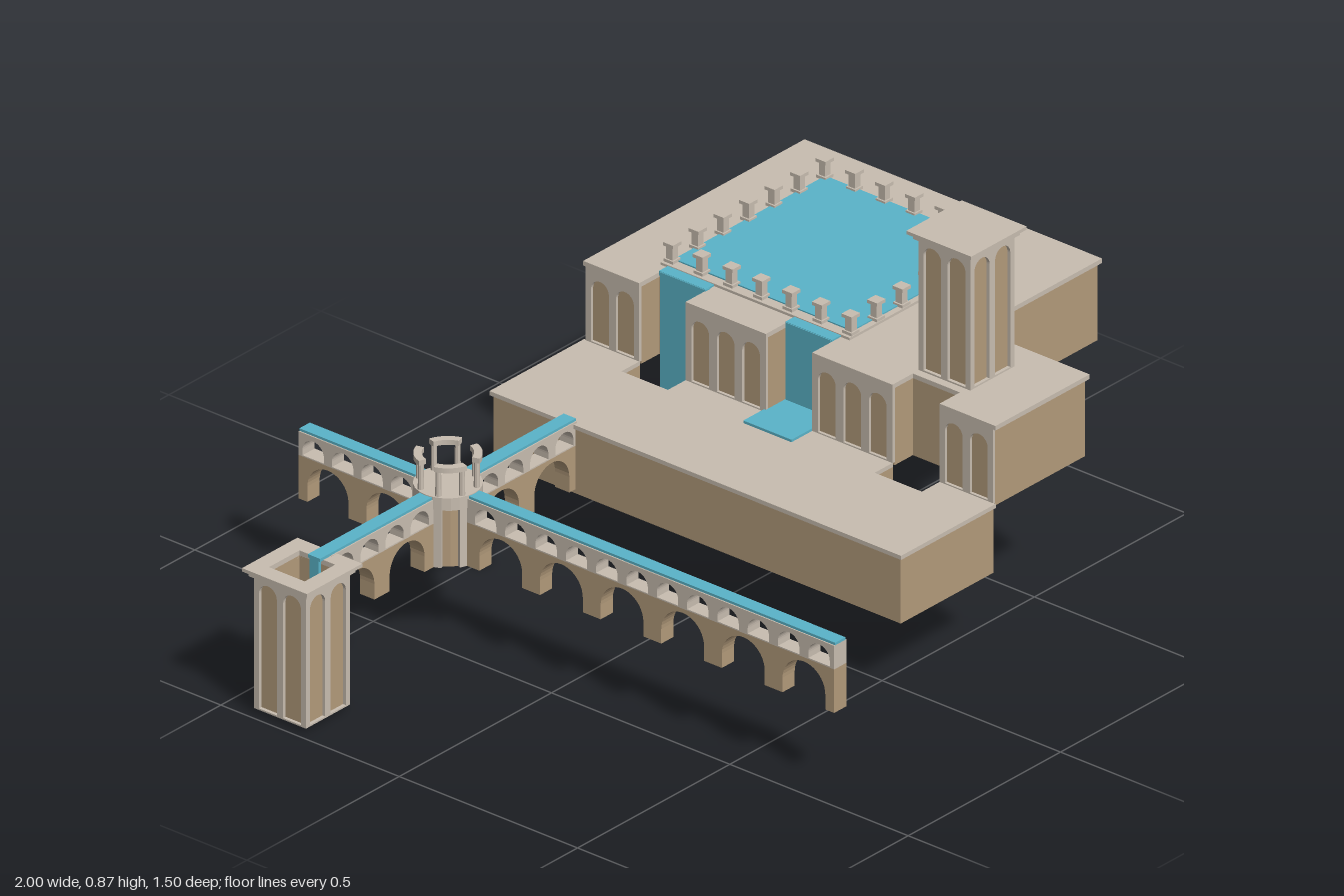
import * as THREE from 'three';

const mat = (color) => new THREE.MeshStandardMaterial({ color, side: THREE.DoubleSide, flatShading: true });
const BROWN = mat(0xb39b7b), LIGHT = mat(0xc8bdb0), WATER = mat(0x5ab4c9);
const HUB_X = -0.43, HUB_Z = -0.35;

function add(parent, name, geometry, material, x = 0, y = 0, z = 0) {
  const m = new THREE.Mesh(geometry, material);
  m.name = name;
  m.position.set(x, y, z);
  parent.add(m);
  return m;
}

// box given by its min and max corners
function box(parent, name, material, x0, x1, y0, y1, z0, z1) {
  return add(parent, name, new THREE.BoxGeometry(x1 - x0, y1 - y0, z1 - z0), material,
    (x0 + x1) / 2, (y0 + y1) / 2, (z0 + z1) / 2);
}

const extrude = (shape, depth) =>
  new THREE.ExtrudeGeometry(shape, { depth, bevelEnabled: false, curveSegments: 10 });

// floor plan of [x, z] corners raised from y0 to y1
function plan(parent, name, material, points, y0, y1, hole) {
  const toV = ([x, z]) => new THREE.Vector2(x, -z);
  const s = new THREE.Shape(points.map(toV));
  if (hole) s.holes.push(new THREE.Path(hole.map(toV)));
  return add(parent, name, extrude(s, y1 - y0).rotateX(-Math.PI / 2), material, 0, y0, 0);
}

const square = (r) => [[-r, -r], [r, -r], [r, r], [-r, r]];

// round-headed opening
function archHole(cx, w, y0, y1) {
  const p = new THREE.Path(), r = w / 2;
  p.moveTo(cx - r, y0);
  p.lineTo(cx - r, y1 - r);
  p.absarc(cx, y1 - r, r, Math.PI, 0, true);
  p.lineTo(cx + r, y0);
  p.closePath();
  return p;
}

// light wall plate with a row of arched openings, centred on x
function archPlate(w, h, count, archW, top, depth) {
  const s = new THREE.Shape([[-w / 2, 0], [w / 2, 0], [w / 2, h], [-w / 2, h]].map((p) => new THREE.Vector2(...p)));
  const step = archW + (w - count * archW) / (count + 0.5);
  for (let i = 0; i < count; i++) s.holes.push(archHole((i - (count - 1) / 2) * step, archW, 0.004, top));
  return extrude(s, depth);
}

// square tower with two blind arches on every face and a stepped cornice
function tower(name, h, hollow) {
  const g = new THREE.Group(), r = 0.0725, hole = hollow && square(0.05);
  g.name = name;
  plan(g, 'towerCore', BROWN, square(r - 0.008), 0, h, hole);
  for (let i = 0; i < 4; i++) {
    const side = new THREE.Group();
    side.rotation.y = i * Math.PI / 2;
    add(side, 'towerArches', archPlate(2 * r, h, 2, 0.05, h - 0.02, 0.008), LIGHT, 0, 0, r - 0.008);
    g.add(side);
  }
  plan(g, 'corniceLower', LIGHT, square(0.081), h - 0.008, h + 0.004, hole);
  plan(g, 'corniceUpper', LIGHT, square(0.091), h + 0.004, h + 0.012, hole);
  return g;
}

// aqueduct arm along local +x, bays counted inward from the far end
function arm(name, angle, length, bays, bay) {
  const g = new THREE.Group(), start = length - bays * bay, t = 0.04, r = bay / 2 - 0.025;
  g.name = name;
  g.position.set(HUB_X, 0, HUB_Z);
  g.rotation.y = angle;
  const low = new THREE.Shape();
  low.moveTo(start - 0.03, 0.295);
  low.lineTo(start - 0.03, 0.19);
  const high = new THREE.Shape();
  high.moveTo(start - 0.03, 0.295);
  high.lineTo(length, 0.295);
  high.lineTo(length, 0.352);
  high.lineTo(start - 0.03, 0.352);
  for (let i = 0; i < bays; i++) {
    const c = start + (i + 0.5) * bay;
    low.lineTo(c - r, 0.19);
    low.lineTo(c - r, 0.285 - r);
    low.absarc(c, 0.285 - r, r, Math.PI, 0, true);
    low.lineTo(c + r, 0.19);
    for (const k of [-0.25, 0.25]) high.holes.push(archHole(c + k * bay, 0.06, 0.298, 0.341));
  }
  low.lineTo(length, 0.19);
  low.lineTo(length, 0.295);
  add(g, 'lowerArches', extrude(low, t), BROWN, 0, 0, -t / 2);
  add(g, 'upperArcade', extrude(high, t), LIGHT, 0, 0, -t / 2);
  box(g, 'channelWater', WATER, 0.06, length, 0.35, 0.358, -0.017, 0.017);
  return g;
}

// round junction with pilasters and four small colonnades
function hub() {
  const g = new THREE.Group();
  g.name = 'junction';
  g.position.set(HUB_X, 0, HUB_Z);
  const cyl = (r, h) => new THREE.CylinderGeometry(r, r, h, 24);
  add(g, 'junctionCore', cyl(0.065, 0.15), BROWN, 0, 0.265, 0);
  add(g, 'junctionBand', cyl(0.075, 0.03), LIGHT, 0, 0.345, 0);
  for (let i = 0; i < 8; i++) {
    const quarter = Math.floor(i / 2) * Math.PI / 2 + Math.PI / 4;
    const a = quarter + (i % 2 ? 0.4 : -0.4);
    const c = Math.cos(a), s = Math.sin(a);
    add(g, 'pilaster', new THREE.BoxGeometry(0.016, 0.15, 0.018), LIGHT, c * 0.065, 0.265, s * 0.065).rotation.y = -a;
    add(g, 'column', new THREE.CylinderGeometry(0.006, 0.007, 0.06, 8), LIGHT, c * 0.065, 0.39, s * 0.065);
    if (i % 2) continue;
    const arc = new THREE.Shape();
    arc.absarc(0, 0, 0.074, quarter - 0.5, quarter + 0.5, false);
    arc.absarc(0, 0, 0.056, quarter + 0.5, quarter - 0.5, true);
    add(g, 'colonnadeCap', extrude(arc, 0.012).rotateX(-Math.PI / 2), LIGHT, 0, 0.42, 0);
  }
  return g;
}

// platforms with three notches where they meet
const NOTCHES = [[-0.41, -0.28], [-0.055, 0.075], [0.3, 0.432]];
function lowerPlan(e) {
  const pts = [[0.27, -0.56 - e], [-0.035 - e, -0.56 - e], [-0.035 - e, 0.582 + e], [0.27, 0.582 + e]];
  for (const [a, b] of [...NOTCHES].reverse()) pts.push([0.27, b], [0.21, b], [0.21, a], [0.27, a]);
  return pts;
}
function upperPlan(e) {
  const x = 0.275 - e;
  const pts = [[x, 0.582 + e], [0.57 + e, 0.582 + e], [0.57 + e, 0.26 + e], [0.988 + e, 0.26 + e],
    [0.988 + e, -0.56 - e], [x, -0.56 - e]];
  for (const [a, b] of NOTCHES) pts.push([x, a], [0.335, a], [0.335, b], [x, b]);
  return pts;
}

export function createModel() {
  const g = new THREE.Group();
  g.name = 'aqueductAndReservoir';

  plan(g, 'lowerPlatform', BROWN, lowerPlan(0), 0.18, 0.338);
  plan(g, 'lowerPaving', LIGHT, lowerPlan(0.006), 0.338, 0.348);
  plan(g, 'upperPlatform', BROWN, upperPlan(0), 0.34, 0.526);
  plan(g, 'upperPaving', LIGHT, upperPlan(0.007), 0.526, 0.537);

  // arcaded wall between the notches
  for (const [a, b] of [[-0.56, -0.41], [-0.28, -0.055], [0.075, 0.3], [0.432, 0.582]]) {
    const w = b - a, n = w > 0.2 ? 3 : 2;
    add(g, 'wallArches', archPlate(w, 0.18, n, 0.05, 0.155, 0.008), LIGHT, 0.276, 0.347, (a + b) / 2)
      .rotation.y = -Math.PI / 2;
  }

  // reservoir, its posts and overflows
  box(g, 'poolRim', LIGHT, 0.362, 0.9, 0.535, 0.543, -0.43, 0.1);
  box(g, 'poolWater', WATER, 0.388, 0.885, 0.538, 0.546, -0.415, 0.085);
  for (let i = 0; i < 7; i++) for (let j = 0; j < 7; j++) {
    if (i % 6 && j % 6) continue;
    const x = 0.382 + i * 0.0835, z = -0.415 + j * 0.0835;
    add(g, 'postBase', new THREE.BoxGeometry(0.026, 0.007, 0.026), LIGHT, x, 0.547, z);
    add(g, 'post', new THREE.BoxGeometry(0.018, 0.036, 0.018), LIGHT, x, 0.566, z);
    add(g, 'postCap', new THREE.BoxGeometry(0.028, 0.008, 0.028), LIGHT, x, 0.586, z);
  }
  box(g, 'tallWaterfall', WATER, 0.331, 0.348, 0.15, 0.54, -0.405, -0.278);
  box(g, 'shortWaterfall', WATER, 0.331, 0.348, 0.345, 0.54, -0.053, 0.073);
  for (const [a, b] of NOTCHES.slice(0, 2)) box(g, 'spillWater', WATER, 0.333, 0.364, 0.53, 0.541, a, b);
  box(g, 'lowerPool', WATER, 0.2, 0.335, 0.342, 0.354, -0.06, 0.075);

  // towers
  const tall = tower('tallTower', 0.325, false);
  tall.position.set(0.428, 0.537, 0.371);
  const well = tower('wellTower', 0.327, true);
  well.position.set(-0.909, 0.012, -0.35);
  g.add(tall, well);
  box(g, 'wellInlet', WATER, -0.87, -0.81, 0.35, 0.358, -0.367, -0.333);
  box(g, 'wellWaterfall', WATER, -0.87, -0.862, 0, 0.356, -0.363, -0.337);

  // aqueduct crossing
  g.add(hub(),
    arm('eastArm', 0, 0.4, 2, 0.165),
    arm('westArm', Math.PI, 0.405, 2, 0.165),
    arm('northArm', Math.PI / 2, 0.402, 2, 0.165),
    arm('southArm', -Math.PI / 2, 1.1, 6, 0.17));
  return g;
}
